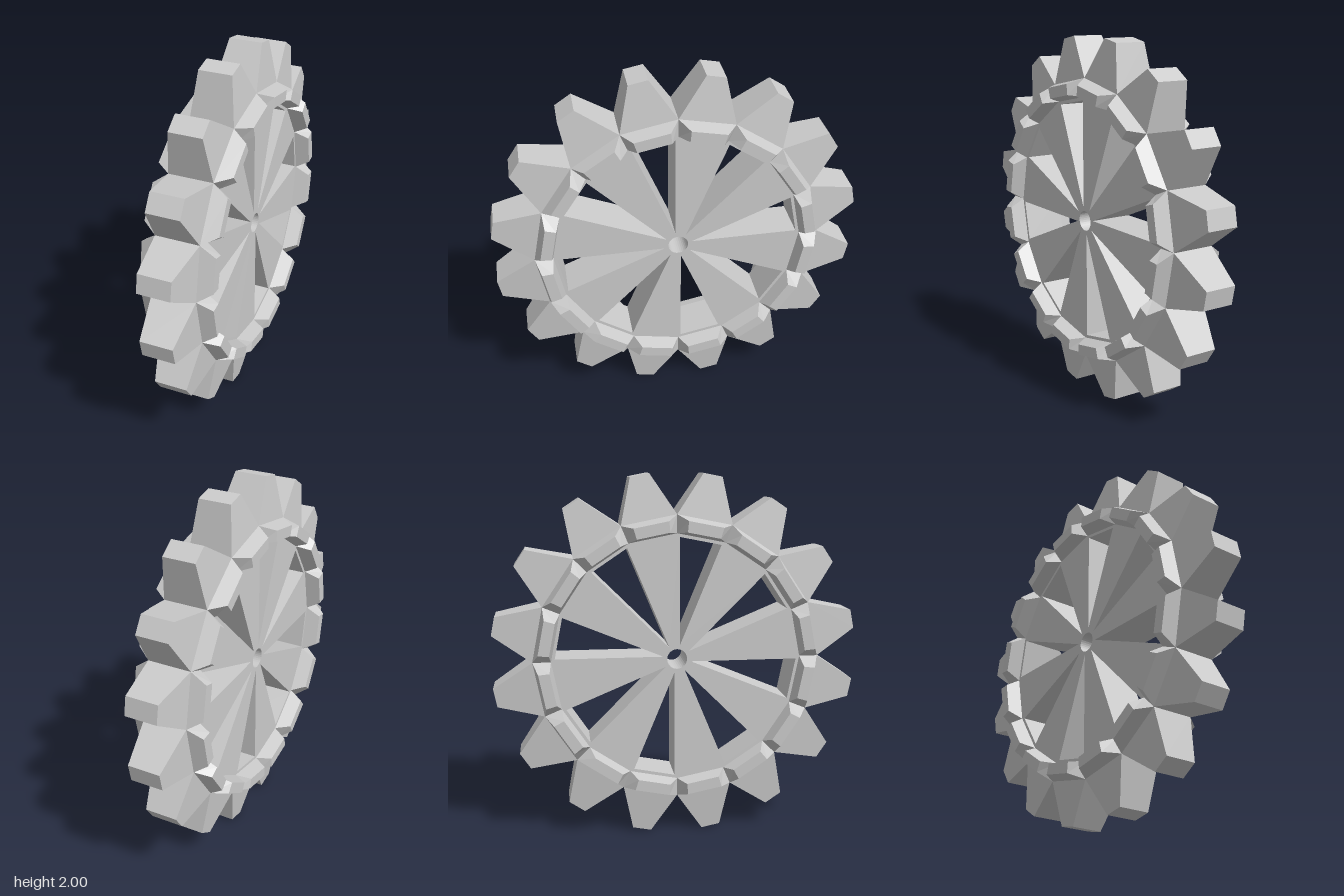
import * as THREE from 'three';

const TEETH = 16;
const STEP = (Math.PI * 2) / TEETH;
const HALF = STEP / 2;
const ROOT = 0.785;      // corner radius of the disc
const THICK = 0.12;      // half thickness of the disc

const material = new THREE.MeshStandardMaterial({ color: 0xcccccc, flatShading: true });

// Box whose corners are placed by a rule taking the corner signs
function block(rule) {
  const geo = new THREE.BoxGeometry(2, 2, 2).toNonIndexed();
  const p = geo.attributes.position;
  for (let i = 0; i < p.count; i++) p.setXYZ(i, ...rule(p.getX(i), p.getY(i), p.getZ(i)));
  geo.computeVertexNormals();
  return geo;
}

// Point in the disc outline: angle a from the top, radius r, sideways offset t
function polar(a, r, t = 0) {
  return new THREE.Vector2(-r * Math.sin(a) - t * Math.cos(a), r * Math.cos(a) - t * Math.sin(a));
}

// Sixteen-sided disc with a round bore and eight wedge openings between spokes
function discGeometry() {
  const outline = [];
  for (let i = 0; i < TEETH; i++) outline.push(polar(i * STEP, ROOT));
  const shape = new THREE.Shape(outline);
  shape.holes.push(new THREE.Path().absarc(0, 0, 0.055, 0, Math.PI * 2, true));
  const apex = 0.077, outer = 0.655;
  const t = (outer - apex) * Math.tan(HALF);
  for (let i = 0; i < TEETH; i += 2) {
    const a = HALF + i * STEP;
    shape.holes.push(new THREE.Path([polar(a, apex), polar(a, outer, t), polar(a, outer, -t)]));
  }
  const geo = new THREE.ExtrudeGeometry(shape, { depth: THICK * 2, bevelEnabled: false, curveSegments: 16 });
  geo.translate(0, 0, -THICK);
  geo.rotateY(Math.PI / 2);
  return geo;
}

export function createModel() {
  const wheel = new THREE.Group();
  wheel.name = 'gearWheel';

  const disc = new THREE.Mesh(discGeometry(), material);
  disc.name = 'spokedDisc';
  wheel.add(disc);

  // Tapered tooth on each flat of the disc
  const toothGeo = block((x, y, z) => y < 0
    ? [x * THICK, ROOT * Math.cos(HALF), z * ROOT * Math.sin(HALF)]
    : [x * 0.09, 1.009, z * 0.052]);

  // Bevelled rim block; its base fills one segment of the rim
  const rimGeo = block((x, y, z) => {
    if (x > 0) return [0.2, y > 0 ? 0.75 : 0.69, z * (y > 0 ? 0.096 : 0.09)];
    const r = y > 0 ? ROOT : 0.685;
    return [THICK, r * Math.cos(HALF), z * r * Math.sin(HALF)];
  });

  for (let i = 0; i < TEETH; i++) {
    const segment = new THREE.Group();
    segment.name = 'segment' + (i + 1);
    segment.rotation.x = HALF + i * STEP;

    const tooth = new THREE.Mesh(toothGeo, material);
    tooth.name = 'tooth';
    const leftRim = new THREE.Mesh(rimGeo, material);
    leftRim.name = 'leftRimBlock';
    const rightRim = new THREE.Mesh(rimGeo, material);
    rightRim.name = 'rightRimBlock';
    rightRim.rotation.y = Math.PI;

    segment.add(tooth, leftRim, rightRim);
    wheel.add(segment);
  }

  wheel.position.y = 1;
  const model = new THREE.Group();
  model.name = 'gear';
  model.add(wheel);
  return model;
}
